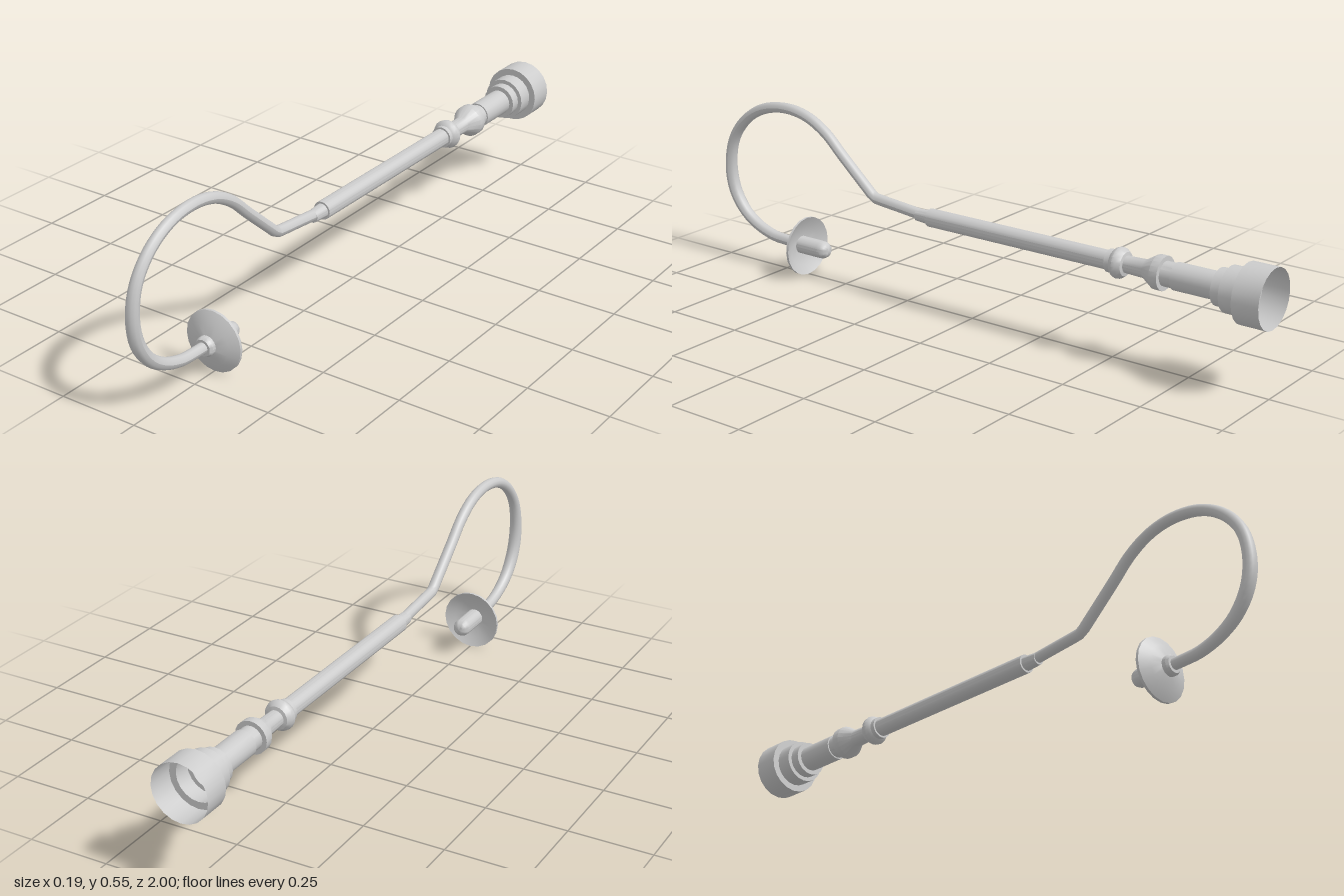
import * as THREE from 'three';
import { toCreasedNormals } from 'three/addons/utils/BufferGeometryUtils.js';

const ROD_Y = 0.289, DISC_Y = 0.096, SIDES = 20;
const grey = new THREE.MeshStandardMaterial({ color: 0xcccccc, side: THREE.DoubleSide });

// Turned part about the z axis; profile is [radius, z] with z rising along the outside
function turned(name, profile, y) {
  const pts = profile.map(([r, z]) => new THREE.Vector2(r, z));
  const geo = new THREE.LatheGeometry(pts, SIDES).rotateX(Math.PI / 2);
  const mesh = new THREE.Mesh(toCreasedNormals(geo, 0.6), grey);
  mesh.name = name;
  mesh.position.y = y;
  return mesh;
}

// Bent rod that swells slightly along the outer bend
function bentRod() {
  const path = new THREE.CatmullRomCurve3([
    [0.17, 0.289], [0.27, 0.299], [0.36, 0.308], [0.376, 0.311], [0.39, 0.323],
    [0.504, 0.424], [0.568, 0.482], [0.643, 0.522], [0.729, 0.536], [0.826, 0.52],
    [0.906, 0.473], [0.962, 0.4], [0.981, 0.31], [0.968, 0.23], [0.926, 0.165],
    [0.869, 0.125], [0.8, 0.102], [0.75, 0.098], [0.68, 0.096],
  ].map(([z, y]) => new THREE.Vector3(0, y, z)), false, 'centripetal');
  const segments = 72, around = 12;
  const geo = new THREE.TubeGeometry(path, segments, 0.017, around);
  const pos = geo.attributes.position, p = new THREE.Vector3();
  for (let i = 0; i <= segments; i++) {
    const t = i / segments, centre = path.getPointAt(t);
    const swell = 1 + 0.22 * Math.exp(-(((t - 0.76) / 0.1) ** 2));
    for (let j = 0; j <= around; j++) {
      const k = i * (around + 1) + j;
      p.fromBufferAttribute(pos, k).sub(centre).multiplyScalar(swell).add(centre);
      pos.setXYZ(k, p.x, p.y, p.z);
    }
  }
  geo.computeVertexNormals();
  const mesh = new THREE.Mesh(geo, grey);
  mesh.name = 'bentRod';
  return mesh;
}

export function createModel() {
  const model = new THREE.Group();
  model.name = 'hookedRod';

  // Stepped, open cup at the back end
  model.add(turned('steppedCup', [
    [0.088, -1], [0.088, -0.918], [0.067, -0.918], [0.067, -0.867],
    [0.054, -0.867], [0.054, -0.835], [0.04, -0.835],
  ], ROD_Y));

  // Sleeve and flared collar
  model.add(turned('sleeve', [
    [0.04, -0.835], [0.04, -0.7], [0.036, -0.7], [0.036, -0.665], [0.05, -0.665],
    [0.05, -0.64], [0.027, -0.602], [0.025, -0.54],
  ], ROD_Y));

  // Rounded ring on the shaft
  model.add(turned('shaftRing', [
    [0.025, -0.54], [0.035, -0.538], [0.044, -0.526], [0.046, -0.515],
    [0.042, -0.505], [0.034, -0.498], [0.034, -0.483], [0.028, -0.483],
  ], ROD_Y));

  // Long shaft and its tip
  model.add(turned('shaft', [
    [0.028, -0.483], [0.028, 0.157], [0.022, 0.157], [0.019, 0.205], [0, 0.205],
  ], ROD_Y));

  model.add(bentRod());

  // Shallow dish, hollow at the back
  model.add(turned('dish', [
    [0, 0.682], [0.03, 0.682], [0.065, 0.672], [0.094, 0.656], [0.094, 0.664],
    [0.065, 0.681], [0.03, 0.691], [0.03, 0.703], [0.025, 0.711], [0, 0.711],
  ], DISC_Y));

  // Round-ended pin behind the dish
  model.add(turned('pin', [
    [0, 0.567], [0.012, 0.569], [0.021, 0.575], [0.027, 0.587], [0.028, 0.6], [0.028, 0.69],
  ], DISC_Y));

  return model;
}
